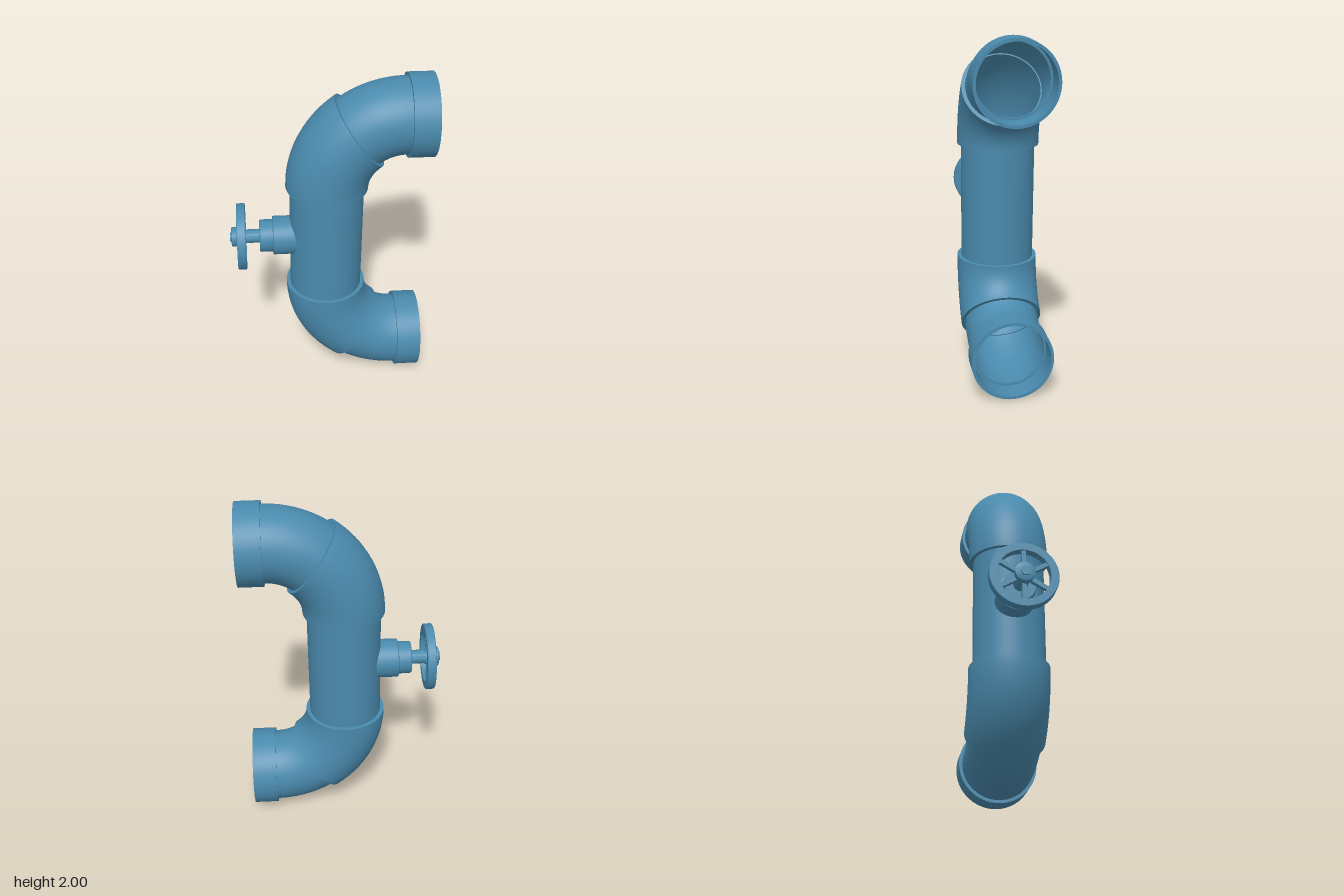
import * as THREE from 'three';
import { toCreasedNormals } from 'three/addons/utils/BufferGeometryUtils.js';

const material = new THREE.MeshStandardMaterial({ color: 0x4a8aad, side: THREE.DoubleSide });
const AXIS_X = -0.015;   // axis of the upright pipe
const BEND = 0.43;       // centre-line radius of the elbows
const JOINT = Math.PI - 0.932; // angle where the two elbow halves meet

function add(parent, name, geometry) {
  const mesh = new THREE.Mesh(geometry, material);
  mesh.name = name;
  parent.add(mesh);
  return mesh;
}

// Turned part along -x; points are [radius, distance towards -x]
function turned(points, segments = 48) {
  const lathe = new THREE.LatheGeometry(points.map(([r, h]) => new THREE.Vector2(r, h)), segments);
  return toCreasedNormals(lathe.rotateZ(Math.PI / 2), 0.6);
}

// Piece of a pipe bend between two angles about the bend centre
function bend(radius, from, to) {
  return new THREE.TorusGeometry(BEND, radius, 48, 16, to - from).rotateZ(from);
}

// Flat annulus across the bend at an angle
function bendRing(inner, outer, angle) {
  return new THREE.RingGeometry(inner, outer, 48).rotateY(Math.PI / 2)
    .rotateZ(angle + Math.PI / 2)
    .translate(BEND * Math.cos(angle), BEND * Math.sin(angle), 0);
}

function createElbow() {
  const elbow = new THREE.Group();
  const arc = new THREE.Group();
  arc.position.set(AXIS_X + BEND, 0.338, 0);
  elbow.add(arc);
  add(arc, 'elbowSleeve', bend(0.233, JOINT, Math.PI));
  add(arc, 'elbowPipe', bend(0.212, Math.PI / 2, JOINT));
  add(arc, 'sleeveJointRim', bendRing(0.205, 0.233, JOINT));
  add(arc, 'sleeveEndRim', bendRing(0.205, 0.233, Math.PI));
  // Open socket with an inner shoulder
  const socket = add(arc, 'socket', turned([
    [0.2, -0.012], [0.2, 0], [0.23, 0], [0.23, 0.141], [0.213, 0.141], [0.213, 0.012], [0.2, 0.012], [0.2, 0],
  ].map(([r, h]) => [r, Math.max(h, 0)]).slice(1), 64));
  socket.position.set(0, BEND, 0);
  socket.rotation.y = Math.PI; // opens towards +x
  return elbow;
}

function createValve() {
  const valve = new THREE.Group();
  valve.name = 'valve';
  add(valve, 'bonnet', turned([
    [0.112, 0.17], [0.112, 0.322], [0.106, 0.326], [0.094, 0.326], [0.094, 0.395], [0.088, 0.402], [0, 0.402],
  ]));
  add(valve, 'stem', turned([[0.04, 0.39], [0.04, 0.5]], 24));

  // Handwheel rim
  add(valve, 'wheelRim', turned([
    [0.147, 0.48], [0.188, 0.48], [0.192, 0.484], [0.192, 0.526], [0.188, 0.53], [0.147, 0.53], [0.147, 0.48],
  ], 64));
  // Hub and end nut
  add(valve, 'wheelHub', turned([
    [0, 0.485], [0.045, 0.485], [0.056, 0.53], [0.056, 0.56], [0.05, 0.563], [0, 0.563],
  ], 32));
  add(valve, 'wheelNut', turned([[0.026, 0.555], [0.026, 0.572], [0, 0.572]], 24));
  // Spokes
  for (let i = 0; i < 6; i++) {
    const spoke = add(valve, 'spoke', new THREE.BoxGeometry(0.026, 0.125, 0.024).translate(0, 0.095, 0));
    spoke.position.x = -0.51;
    spoke.rotation.x = (i / 6) * Math.PI * 2;
  }
  return valve;
}

export function createModel() {
  const model = new THREE.Group();
  model.name = 'pipeWithValve';

  // The whole assembly leans very slightly
  const assembly = new THREE.Group();
  assembly.name = 'assembly';
  assembly.position.set(0, 1.003, 0.003);
  assembly.rotation.set(-0.007, 0, -0.014);
  model.add(assembly);

  const pipe = add(assembly, 'uprightPipe', new THREE.CylinderGeometry(0.21, 0.21, 0.7, 64, 1, true));
  pipe.position.x = AXIS_X;

  const upper = createElbow();
  upper.name = 'upperElbow';
  const lower = createElbow();
  lower.name = 'lowerElbow';
  lower.rotation.x = Math.PI;
  assembly.add(upper, lower, createValve());
  return model;
}
